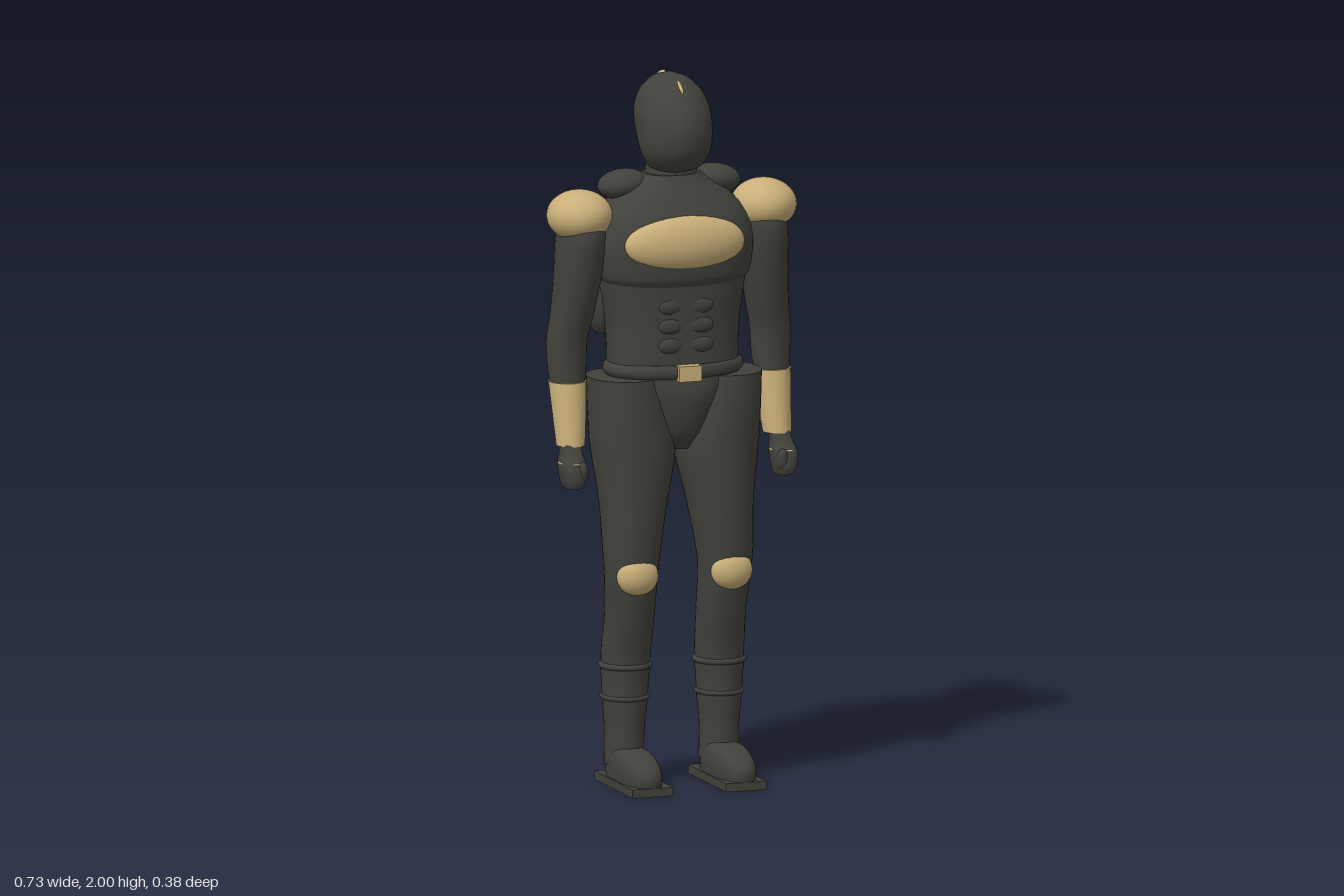
import * as THREE from 'three';

const dark = new THREE.MeshStandardMaterial({ color: 0x42423c });
dark.name = 'charcoal suit';
const gold = new THREE.MeshStandardMaterial({ color: 0xc9af79 });
gold.name = 'tan armour';

// Smooth upright body through sections [y, centreX, centreZ, radiusX, radiusZ], listed upward.
// power 2 gives ellipses, larger values squarer sections.
function loft(sections, power = 2, sides = 32, steps = 5) {
  const mid = new THREE.CatmullRomCurve3(sections.map(s => new THREE.Vector3(s[1], s[0], s[2])));
  const size = new THREE.CatmullRomCurve3(sections.map((s, i) => new THREE.Vector3(s[3], i * 0.05, s[4])));
  const rows = (sections.length - 1) * steps;
  const pos = [], index = [];
  const ring = t => {
    const c = mid.getPoint(t), r = size.getPoint(t), start = pos.length / 3;
    for (let j = 0; j < sides; j++) {
      const a = j / sides * Math.PI * 2, ca = Math.cos(a), sa = Math.sin(a);
      pos.push(c.x + r.x * Math.sign(ca) * Math.abs(ca) ** (2 / power), c.y,
        c.z + r.z * Math.sign(sa) * Math.abs(sa) ** (2 / power));
    }
    return start;
  };
  for (let i = 0; i <= rows; i++) ring(i / rows);
  for (let i = 0; i < rows; i++) {
    for (let j = 0; j < sides; j++) {
      const a = i * sides + j, b = i * sides + (j + 1) % sides;
      index.push(a, a + sides, b, b, a + sides, b + sides);
    }
  }
  // flat end caps
  for (const t of [0, 1]) {
    const start = ring(t), c = mid.getPoint(t), hub = pos.length / 3;
    pos.push(c.x, c.y, c.z);
    for (let j = 0; j < sides; j++) {
      const a = start + j, b = start + (j + 1) % sides;
      if (t) index.push(hub, b, a); else index.push(hub, a, b);
    }
  }
  const g = new THREE.BufferGeometry();
  g.setAttribute('position', new THREE.Float32BufferAttribute(pos, 3));
  g.setIndex(index);
  g.computeVertexNormals();
  return g;
}

export function createModel() {
  const model = new THREE.Group();
  model.name = 'armouredFigure';

  const add = (parent, name, geometry, material, p = [0, 0, 0], r = [0, 0, 0]) => {
    const m = new THREE.Mesh(geometry, material);
    m.name = name;
    m.position.set(...p);
    m.rotation.set(...r);
    parent.add(m);
    return m;
  };
  const ball = (parent, name, material, p, radii, r) => {
    const m = add(parent, name, new THREE.SphereGeometry(1, 32, 20), material, p, r);
    m.scale.set(...radii);
    return m;
  };
  const band = (parent, name, material, p, rx, rz, tube, tall = 1) => {
    const m = add(parent, name, new THREE.TorusGeometry(1, tube / rx, 10, 40), material, p, [Math.PI / 2, 0, 0]);
    m.scale.set(rx, rz, rx * tall);
    return m;
  };

  // Head and neck
  add(model, 'head', loft([
    [1.724, 0, -0.025, 0.035, 0.035], [1.74, 0, -0.02, 0.07, 0.08],
    [1.77, 0, -0.012, 0.09, 0.102], [1.8, 0, -0.012, 0.1, 0.118],
    [1.85, 0, -0.024, 0.105, 0.134], [1.9, 0, -0.037, 0.103, 0.132],
    [1.95, 0, -0.048, 0.084, 0.107], [1.985, 0, -0.054, 0.048, 0.062],
    [2.0, 0, -0.056, 0.003, 0.003]]), dark);
  add(model, 'neck', loft([
    [1.64, 0, -0.05, 0.095, 0.085], [1.71, 0, -0.045, 0.075, 0.068],
    [1.8, 0, -0.05, 0.068, 0.06]]), dark);
  ball(model, 'frontCrest', gold, [0, 1.966, 0.02], [0.008, 0.013, 0.036], [0.45, 0, 0]);
  ball(model, 'backCrest', gold, [0, 1.968, -0.133], [0.011, 0.018, 0.047], [-0.5, 0, 0]);

  // Torso
  add(model, 'chest', loft([
    [1.415, 0, -0.04, 0.2, 0.128], [1.44, 0, -0.038, 0.22, 0.138],
    [1.53, 0, -0.038, 0.23, 0.143], [1.6, 0, -0.045, 0.215, 0.135],
    [1.66, 0, -0.05, 0.165, 0.11], [1.7, 0, -0.045, 0.105, 0.082],
    [1.72, 0, -0.043, 0.08, 0.07]], 2.4, 48), dark);
  add(model, 'waist', loft([
    [1.15, 0, -0.034, 0.19, 0.118], [1.22, 0, -0.036, 0.186, 0.12],
    [1.32, 0, -0.038, 0.193, 0.122], [1.46, 0, -0.04, 0.215, 0.13]], 2.4, 48), dark);
  ball(model, 'chestPlate', gold, [0, 1.535, 0.064], [0.177, 0.085, 0.06]);
  for (const s of [1, -1]) {
    for (let i = 0; i < 3; i++) {
      ball(model, 'abdominal', dark, [s * 0.045, 1.25 + i * 0.055, 0.077], [0.036, 0.023, 0.012]);
    }
    ball(model, 'backMuscle', dark, [s * 0.185, 1.37, -0.108], [0.045, 0.11, 0.056]);
    ball(model, 'shoulderBlade', dark, [s * 0.1, 1.56, -0.135], [0.085, 0.1, 0.05]);
    ball(model, 'collarPad', dark, [s * 0.137, 1.69, -0.063], [0.072, 0.041, 0.06], [0, 0, -s * 0.12]);
  }

  // Pelvis and belt
  add(model, 'pelvis', loft([
    [0.95, 0, -0.02, 0.045, 0.065], [1.0, 0, -0.02, 0.075, 0.1],
    [1.1, 0, -0.02, 0.13, 0.122], [1.17, 0, -0.03, 0.19, 0.122]], 2.3), dark);
  ball(model, 'seat', dark, [0, 1.06, -0.1], [0.155, 0.095, 0.086]);
  band(model, 'belt', dark, [0, 1.176, -0.031], 0.185, 0.124, 0.019, 1.05);
  add(model, 'buckle', new THREE.BoxGeometry(0.066, 0.044, 0.03), gold, [0, 1.174, 0.1]);

  for (const s of [1, -1]) {
    const side = s > 0 ? 'left' : 'right';
    const limb = (rows, power) => loft(rows.map(([y, x, ...rest]) => [y, s * x, ...rest]), power);

    // Arm
    const arm = new THREE.Group();
    arm.name = side + 'Arm';
    model.add(arm);
    add(arm, 'sleeve', limb([
      [1.1, 0.303, -0.05, 0.043, 0.043], [1.18, 0.301, -0.063, 0.054, 0.054],
      [1.26, 0.3, -0.066, 0.057, 0.062], [1.34, 0.287, -0.058, 0.06, 0.072],
      [1.46, 0.274, -0.045, 0.066, 0.086], [1.56, 0.268, -0.04, 0.067, 0.09],
      [1.64, 0.262, -0.04, 0.05, 0.06]]), dark);
    add(arm, 'gauntlet', limb([
      [0.97, 0.305, -0.022, 0.04, 0.044], [1.06, 0.303, -0.04, 0.047, 0.05],
      [1.145, 0.302, -0.057, 0.053, 0.055]]), gold);
    add(arm, 'hand', limb([
      [0.858, 0.312, 0.014, 0.026, 0.043], [0.88, 0.312, 0.014, 0.032, 0.05],
      [0.92, 0.312, 0.008, 0.036, 0.05], [0.95, 0.31, -0.006, 0.03, 0.038],
      [0.99, 0.306, -0.022, 0.03, 0.034]], 2.7), dark);
    ball(arm, 'thumb', dark, [s * 0.295, 0.9, 0.048], [0.016, 0.034, 0.017], [0.2, 0, 0]);
    band(arm, 'gloveBand', gold, [s * 0.312, 0.925, 0.006], 0.034, 0.046, 0.003);
    ball(arm, 'shoulderPad', gold, [s * 0.272, 1.613, -0.04], [0.092, 0.072, 0.097]);

    // Leg
    const leg = new THREE.Group();
    leg.name = side + 'Leg';
    model.add(leg);
    add(leg, 'trouserLeg', limb([
      [0.32, 0.139, -0.036, 0.066, 0.07], [0.38, 0.138, -0.032, 0.068, 0.074],
      [0.48, 0.135, -0.012, 0.068, 0.077], [0.6, 0.138, 0.009, 0.073, 0.08],
      [0.66, 0.137, 0.011, 0.079, 0.083], [0.8, 0.128, -0.003, 0.093, 0.103],
      [0.95, 0.123, -0.018, 0.117, 0.12], [1.05, 0.136, -0.02, 0.11, 0.122],
      [1.157, 0.15, -0.022, 0.1, 0.118]], 2.15), dark);
    ball(leg, 'kneePad', gold, [s * 0.139, 0.603, 0.066], [0.06, 0.055, 0.04]);
    add(leg, 'boot', limb([
      [0.06, 0.14, -0.042, 0.055, 0.066], [0.16, 0.14, -0.04, 0.055, 0.066],
      [0.24, 0.139, -0.038, 0.063, 0.07], [0.29, 0.139, -0.037, 0.065, 0.071],
      [0.335, 0.139, -0.036, 0.07, 0.075]]), dark);
    band(leg, 'bootTopRing', dark, [s * 0.139, 0.338, -0.036], 0.067, 0.07, 0.009);
    band(leg, 'bootRing', dark, [s * 0.139, 0.248, -0.038], 0.063, 0.068, 0.007);
    add(leg, 'foot', limb([
      [0.01, 0.139, 0.033, 0.056, 0.15], [0.05, 0.139, 0.036, 0.057, 0.152],
      [0.08, 0.139, 0.025, 0.053, 0.138], [0.1, 0.139, 0.005, 0.045, 0.1],
      [0.108, 0.139, -0.01, 0.03, 0.06]], 2.4), dark);
    add(leg, 'sole', new THREE.BoxGeometry(0.119, 0.024, 0.312), dark, [s * 0.138, 0.012, 0.032]);
  }
  return model;
}
